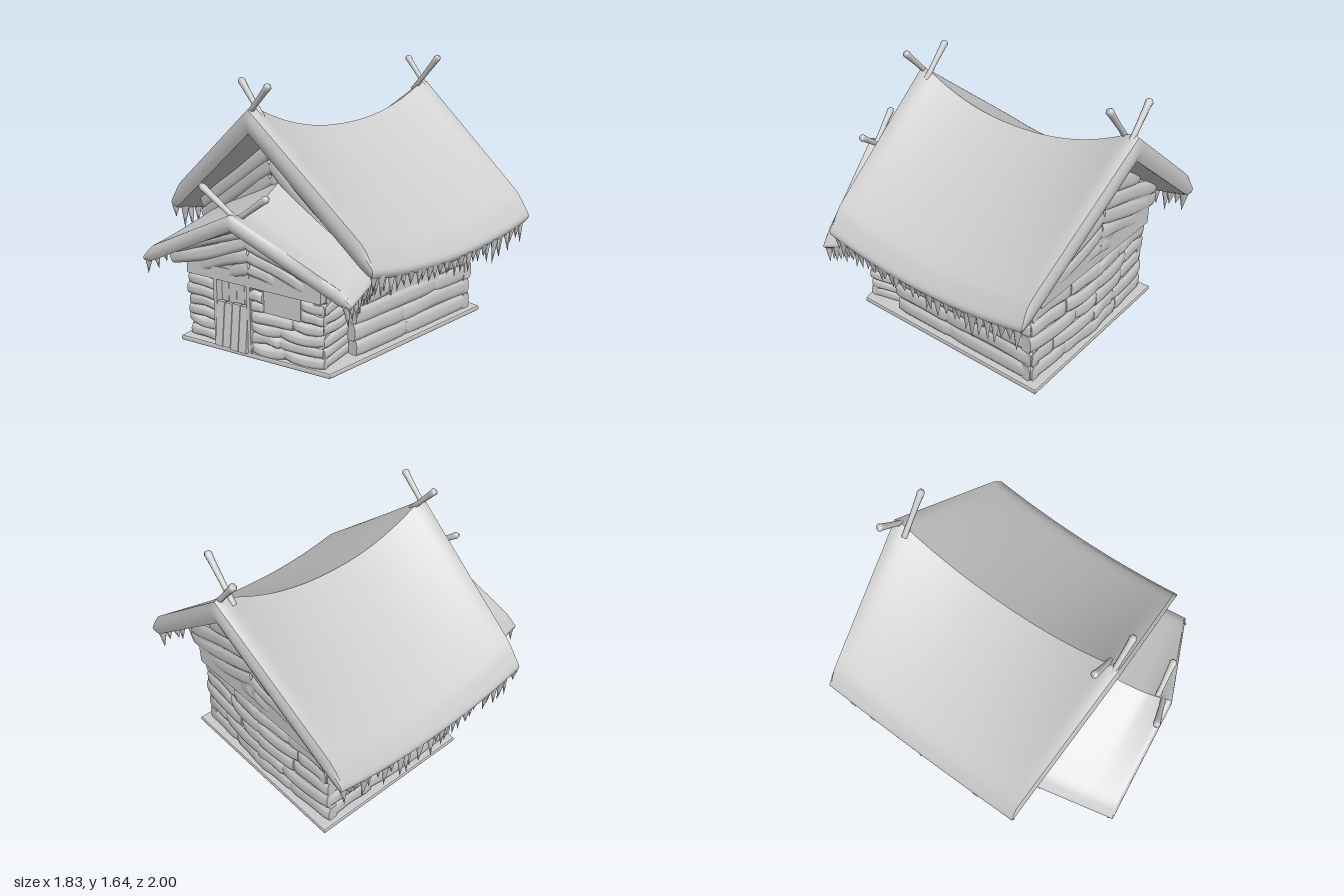
import * as THREE from 'three';
import { toCreasedNormals } from 'three/addons/utils/BufferGeometryUtils.js';

const V = (x, y, z) => new THREE.Vector3(x, y, z);
const mat = new THREE.MeshStandardMaterial({ color: 0xcccccc });

let seed = 7;
const rnd = (a = 0, b = 1) => {
  seed = (seed * 16807) % 2147483647;
  return a + (b - a) * (seed / 2147483647);
};

function add(parent, name, geo) {
  const m = new THREE.Mesh(geo, mat);
  m.name = name;
  parent.add(m);
  return m;
}

function box(parent, name, w, h, d, x, y, z) {
  const m = add(parent, name, new THREE.BoxGeometry(w, h, d));
  m.position.set(x, y, z);
  return m;
}

// Move every vertex of a geometry by a rule
function warp(geo, rule, crease = 0.6) {
  const p = geo.attributes.position, v = V(0, 0, 0);
  for (let i = 0; i < p.count; i++) {
    rule(v.fromBufferAttribute(p, i));
    p.setXYZ(i, v.x, v.y, v.z);
  }
  return toCreasedNormals(geo, crease);
}

// Flat plank with soft edges and a slight sag from a to b; outside is to the right of a->b
function plank(parent, name, a, b, h, d = 0.06) {
  const e = b.clone().sub(a), len = e.length();
  e.normalize();
  const z = e.clone().cross(V(0, 1, 0)).normalize(), y = z.clone().cross(e);
  const sag = rnd(-0.012, 0.012), lean = rnd(-0.006, 0.006);
  const geo = warp(new THREE.BoxGeometry(len, h, d, 8, 6, 1), (v) => {
    const ex = Math.abs(2 * v.x / len), ey = Math.abs(2 * v.y / h);
    if (v.z > 0) v.z -= 0.016 * ey ** 4 + 0.01 * ex ** 8;
    v.y += sag * Math.cos(v.x / len * 5) + lean * v.x / len;
  }, 0.9);
  const m = add(parent, name, geo);
  m.quaternion.setFromRotationMatrix(new THREE.Matrix4().makeBasis(e, y, z));
  m.position.copy(a).add(b).multiplyScalar(0.5);
}

// Courses of planks along a wall, leaving openings [s0, s1, y0, y1]
function wall(parent, name, [ax, az], [bx, bz], y0, y1, n, openings = []) {
  const a = V(ax, 0, az), dir = V(bx, 0, bz).sub(a), len = dir.length();
  dir.normalize();
  const h = (y1 - y0) / n;
  for (let k = 0; k < n; k++) {
    const y = y0 + (k + 0.5) * h;
    let runs = [[-rnd(0, 0.025), len + rnd(0, 0.025)]];
    for (const [s0, s1, o0, o1] of openings)
      if (y > o0 && y < o1) runs = runs.flatMap(([p, q]) => [[p, s0], [s1, q]].filter(([i, j]) => j > i));
    for (const [p, q] of runs) {
      const cuts = q - p > 0.45 ? [p, p + (q - p) * rnd(0.3, 0.7), q] : [p, q];
      for (let i = 1; i < cuts.length; i++) {
        const at = (s) => a.clone().addScaledVector(dir, s).setY(y);
        plank(parent, name, at(cuts[i - 1]), at(cuts[i]), h * rnd(1, 1.1), 0.06 + rnd(0, 0.022));
      }
    }
  }
}

// Boards that fall away from the middle of a gable on both sides
function gable(parent, z, facing, o) {
  const s = new THREE.Shape();
  s.moveTo(-o.half, o.base - 0.1);
  s.lineTo(o.half, o.base - 0.1);
  s.lineTo(o.half, o.top - o.m * o.half);
  s.lineTo(0, o.top);
  s.lineTo(-o.half, o.top - o.m * o.half);
  const core = add(parent, 'gableCore', new THREE.ExtrudeGeometry(s, { depth: 0.06, bevelEnabled: false }));
  core.position.z = z - 0.03;
  for (let k = 0; ; k++) {
    const y = o.top - 0.03 - k * o.step;
    if (y < o.base) break;
    const end = Math.min(o.max, (o.top - y + 0.05) / Math.max(o.m - o.slope, 0.01), (y - o.base + 0.04) / o.slope);
    for (const side of [-1, 1]) {
      const mid = V(0, y, z + facing * (0.04 - k * 0.004));
      const tip = V(side * end, y - o.slope * end, z + facing * (0.01 - k * 0.004));
      const pts = side * facing > 0 ? [mid, tip] : [tip, mid];
      if (end > 0.06) plank(parent, 'gableBoard', ...pts, o.step * 1.06);
    }
  }
}

// Sagging thick roof, ridge and eave heights given along t = -1 (back) .. 1 (front),
// with a fringe of icicles on both eaves
function roof(parent, name, o) {
  const zAt = (u, t) => {
    const front = o.front - o.bow * Math.abs(u);
    const back = o.back + o.backBow * Math.abs(u) + o.backSkew * u;
    return back + (front - back) * (t + 1) / 2;
  };
  const g = new THREE.Group();
  g.name = name;
  parent.add(g);
  add(g, 'thatch', warp(new THREE.BoxGeometry(2, 1, 2, 40, 4, 40), (p) => {
    const u = p.x, au = Math.abs(u), v = p.y + 0.5, t = p.z;
    const tip = Math.max(0, (au - 0.88) / 0.12) ** 2;
    const bulge = 1 - (2 * v - 1) ** 2;
    const rim = Math.max(0, (Math.abs(t) - 0.88) / 0.12) ** 2;
    const ridge = o.ridge(t) - o.rim * rim;
    p.y = ridge + (o.eave(t) - ridge) * au - o.thick * (1 - v) * (1 - 0.2 * tip) - 0.27 * o.thick * tip * v;
    p.x = u * o.w + Math.sign(u) * tip * 0.018 * (bulge - 1);
    p.z = zAt(u, t) + Math.sign(t) * 0.015 * rim * (bulge - 1);
  }, 0.75));
  for (const side of [-1, 1])
    for (let i = 0; i < o.spikes; i++) {
      const t = -0.98 + 1.96 * (i + rnd(0.2, 0.8)) / o.spikes;
      const len = rnd(0.08, 0.17) * o.spikeScale;
      const c = add(g, 'icicle', new THREE.ConeGeometry(0.028, len, 6));
      c.rotation.set(Math.PI + rnd(-0.1, 0.1), 0, rnd(-0.12, 0.12));
      c.scale.set(0.6, 1, 1.2);
      c.position.set(side * o.w * rnd(0.955, 0.985), o.eave(t) - o.thick * 0.75 - len / 2 + 0.015, zAt(1 * side, t));
    }
}

// Tapered pole with a rounded head
function pole(parent, a, b) {
  const d = b.clone().sub(a), len = d.length();
  const prof = [[0, 0], [0.018, 0], [0.016, 0.4], [0.02, 0.85], [0.023, 0.95], [0.014, 1], [0, 1.005]];
  const m = add(parent, 'crossedPole', new THREE.LatheGeometry(prof.map(([r, y]) => new THREE.Vector2(r, y * len)), 10));
  m.position.copy(a);
  m.quaternion.setFromUnitVectors(V(0, 1, 0), d.normalize());
}

export function createModel() {
  const house = new THREE.Group();
  house.name = 'logHouse';

  // Base slab under house and porch
  const outline = [[-0.64, -0.82], [0.64, -0.82], [0.64, 0.56], [-0.35, 0.86], [-0.48, 0.33], [-0.64, 0.3]];
  const slab = new THREE.Shape(outline.map(([x, z]) => new THREE.Vector2(x, -z)));
  const base = add(house, 'base', new THREE.ExtrudeGeometry(slab,
    { depth: 0.015, bevelThickness: 0.01, bevelSize: 0.01, bevelOffset: -0.01, bevelSegments: 2 }));
  base.rotation.x = -Math.PI / 2;
  base.position.y = 0.01;

  // Main body
  const body = new THREE.Group();
  body.name = 'mainBody';
  house.add(body);
  box(body, 'bodyCore', 1.15, 0.73, 1.02, 0, 0.385, -0.23);
  wall(body, 'rightWallPlank', [0.568, 0.3], [0.568, -0.74], 0.03, 0.75, 7, [[0.28, 0.74, 0.32, 0.64]]);
  wall(body, 'backWallPlank', [0.585, -0.73], [0, -0.77], 0.03, 0.76, 7);
  wall(body, 'backWallPlank', [0, -0.77], [-0.585, -0.73], 0.03, 0.76, 7);
  wall(body, 'leftWallPlank', [-0.568, -0.74], [-0.568, 0.3], 0.03, 0.75, 7);
  wall(body, 'frontWallPlank', [-0.585, 0.275], [-0.3, 0.275], 0.03, 0.75, 9);
  box(body, 'sideWindow', 0.05, 0.34, 0.46, 0.568, 0.485, -0.21);
  gable(body, -0.765, -1, { half: 0.57, base: 0.66, top: 1.21, m: 0.72, slope: 0.3, step: 0.1, max: 0.66 });
  gable(body, 0.38, 1, { half: 0.57, base: 0.62, top: 1.21, m: 0.72, slope: 0.66, step: 0.085, max: 0.72 });
  roof(house, 'mainRoof', { front: 0.6, back: -1, bow: 0.08, backBow: 0.08, backSkew: 0, w: 0.91, thick: 0.14, rim: 0.05,
    ridge: (t) => 1.26 + 0.229 * Math.abs(t) ** 2.2, eave: (t) => 0.69 + 0.08 * t * t, spikes: 28, spikeScale: 1 });
  pole(house, V(0.04, 1.39, 0.51), V(-0.15, 1.59, 0.51));
  pole(house, V(-0.04, 1.39, 0.56), V(0.16, 1.59, 0.56));
  pole(house, V(0.04, 1.39, -0.95), V(-0.15, 1.6, -0.95));
  pole(house, V(-0.04, 1.39, -0.89), V(0.17, 1.63, -0.89));

  // Porch, turned towards +x; the back of its roof lies flat against the house
  const porch = new THREE.Group();
  porch.name = 'porch';
  porch.position.set(0.2, 0, 0.9);
  porch.rotation.y = 0.25;
  house.add(porch);
  box(porch, 'porchCore', 0.92, 0.54, 0.42, -0.02, 0.29, -0.475);
  wall(porch, 'porchFrontPlank', [-0.49, -0.265], [-0.02, -0.235], 0.03, 0.56, 8, [[0.22, 0.46, 0, 0.54]]);
  wall(porch, 'porchFrontPlank', [-0.02, -0.235], [0.45, -0.265], 0.03, 0.56, 8, [[0.08, 0.33, 0.3, 0.54]]);
  wall(porch, 'porchRightPlank', [0.435, -0.26], [0.435, -0.56], 0.03, 0.56, 8);
  wall(porch, 'porchLeftPlank', [-0.475, -0.7], [-0.475, -0.26], 0.03, 0.56, 8);
  gable(porch, -0.22, 1, { half: 0.47, base: 0.55, top: 0.83, m: 0.45, slope: 0.36, step: 0.075, max: 0.62 });
  roof(porch, 'porchRoof', { front: 0, back: -0.585, bow: 0.085, backBow: 0, backSkew: 0.18, w: 0.72, thick: 0.09, rim: 0.01,
    ridge: (t) => 0.9 + 0.09 * Math.abs(t - 0.45) ** 1.5, eave: (t) => 0.62 - 0.045 * t, spikes: 10, spikeScale: 0.9 });
  pole(porch, V(0.08, 0.85, -0.06), V(-0.22, 1.06, -0.05));
  pole(porch, V(-0.05, 0.85, -0.1), V(0.21, 1.04, -0.08));

  // Front window
  box(porch, 'frontWindow', 0.25, 0.24, 0.05, 0.19, 0.42, -0.25);

  // Doorway: frame, recessed upper boards, leaning lower leaf
  for (const x of [-0.265, -0.025]) box(porch, 'doorPost', 0.025, 0.5, 0.07, x, 0.28, -0.23);
  box(porch, 'doorLintel', 0.27, 0.03, 0.08, -0.145, 0.52, -0.225);
  for (let i = 0; i < 4; i++) {
    const x = -0.23 + i * 0.057;
    box(porch, 'upperDoorBoard', 0.055, 0.48, 0.03, x, 0.28, -0.26);
    const leaf = box(porch, 'lowerDoorBoard', 0.053, 0.27 + rnd(0, 0.015), 0.03, x, 0.175, -0.2);
    leaf.rotation.x = -0.12;
  }
  return house;
}
